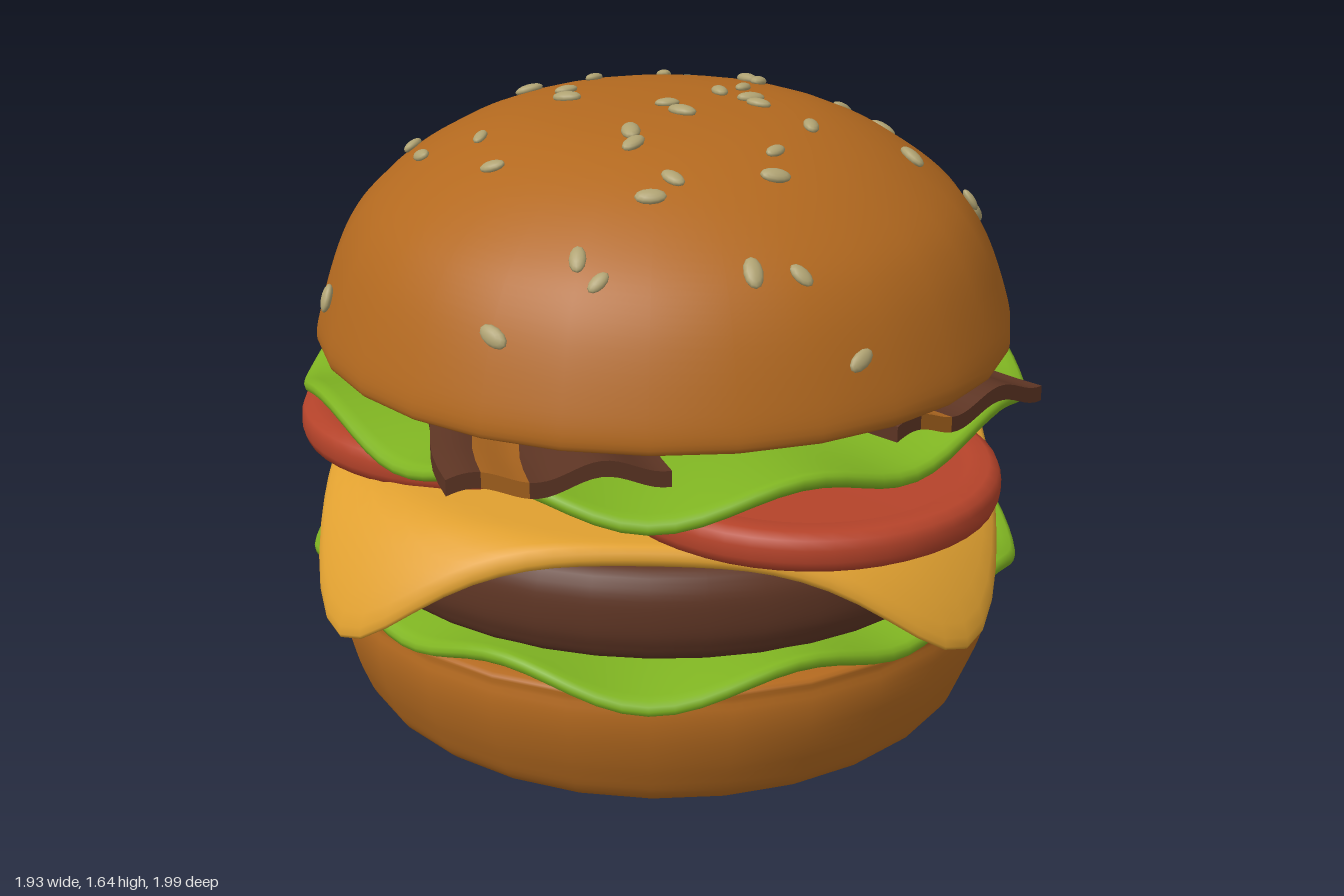
import * as THREE from 'three';
import { mergeVertices } from 'three/addons/utils/BufferGeometryUtils.js';

const material = (name, color) => Object.assign(new THREE.MeshStandardMaterial({ color }), { name });

const mats = {
  bun: material('toasted bun', 0xb3691f),
  seed: material('sesame', 0xafa272),
  patty: material('grilled patty', 0x5e3524),
  lettuce: material('lettuce green', 0x80b522),
  cheese: material('cheese yellow', 0xe0a030),
  tomato: material('tomato red', 0xb5432a),
  bacon: material('bacon meat', 0x5c3423),
  fat: material('bacon fat', 0xac661f),
};

function mesh(name, geometry, mat) {
  const m = new THREE.Mesh(geometry, mat);
  m.name = name;
  return m;
}

const points = (list) => list.map(([r, y]) => new THREE.Vector2(r, y));

// Smooth profile through a few [radius, height] points, bottom to top
const smoothProfile = (list, n) =>
  new THREE.SplineCurve(points(list)).getPoints(n).map((p) => p.setX(Math.max(0, p.x)));

// Move every vertex by a rule, then recompute the normals
function deform(geometry, rule) {
  const pos = geometry.attributes.position;
  const v = new THREE.Vector3();
  for (let i = 0; i < pos.count; i++) {
    rule(v.fromBufferAttribute(pos, i));
    pos.setXYZ(i, v.x, v.y, v.z);
  }
  geometry.computeVertexNormals();
  return geometry;
}

// Thin round-edged sheet with an outline radius(angle) and height(u, angle, r)
function sheet(thickness, radius, height) {
  const h = thickness / 2;
  const us = [0, 0.3, 0.55, 0.66, 0.74, 0.8, 0.85, 0.89, 0.93, 0.96, 0.985];
  const profile = [
    ...us.map((u) => [u, -h]),
    [0.997, -h * 0.6], [1, 0], [0.997, h * 0.6],
    ...us.reverse().map((u) => [u, h]),
  ];
  let g = new THREE.LatheGeometry(points(profile), 96);
  g.deleteAttribute('uv');
  g.deleteAttribute('normal');
  g = mergeVertices(g);
  return deform(g, (v) => {
    const u = Math.hypot(v.x, v.z);
    const a = Math.atan2(v.x, v.z);
    const r = u * radius(a);
    v.set(r * Math.sin(a), v.y + height(u, a, r), r * Math.cos(a));
  });
}

// Strip of bacon between two [x, z] ends, rippled across its width
function baconStrip(from, to, y) {
  const group = new THREE.Group();
  group.name = 'baconStrip';
  const dx = to[0] - from[0], dz = to[1] - from[1];
  const length = Math.hypot(dx, dz);
  const edges = [-0.26, -0.18, -0.07, 0.26];
  for (let i = 0; i < 3; i++) {
    const fat = i === 1;
    const g = deform(new THREE.BoxGeometry(1, 0.04, length, i === 2 ? 16 : 6, 1, 24), (v) => {
      const t = v.z / length + 0.5;
      const sway = 0.15 * (1 - t);
      const a = edges[i] + (i > 0 ? sway : 0);
      const b = edges[i + 1] + (i < 2 ? sway : 0);
      const w = a + (b - a) * (v.x + 0.5);
      v.x = w + 0.012 * Math.sin(t * Math.PI * 6);
      v.y += 0.02 * Math.cos(((w + 0.2) / 0.3) * Math.PI * 2);
    });
    group.add(mesh(fat ? 'baconFat' : 'baconMeat', g, fat ? mats.fat : mats.bacon));
  }
  group.position.set((from[0] + to[0]) / 2, y, (from[1] + to[1]) / 2);
  group.rotation.y = Math.atan2(dx, dz);
  return group;
}

// Sesame seeds laid on the dome, at [x, z]
const SEEDS = [
  [-0.33, -0.62], [-0.2, -0.64], [-0.14, -0.7], [0.04, -0.54], [-0.02, -0.46], [-0.2, -0.29],
  [-0.37, -0.24], [-0.72, -0.32], [-0.75, -0.48], [-0.67, -0.13], [-0.26, -0.1], [-0.25, -0.01],
  [-0.61, 0.12], [-0.45, 0.19], [-0.84, 0.27], [-0.4, 0.37], [-0.36, 0.77], [-0.17, 0.71],
  [-0.12, 0.76], [-0.01, 0.57], [0.04, 0.51], [-0.07, 0.3], [-0.06, 0.37], [0.01, 0.08],
  [0.05, 0.15], [0.14, -0.06], [0.2, -0.13], [0.22, -0.01], [0.24, 0.04], [0.21, -0.31],
  [0.24, -0.27], [0.47, -0.38], [0.58, -0.36], [0.52, -0.67], [0.58, -0.58], [0.82, -0.15],
  [0.8, -0.11], [0.63, 0.06], [0.37, 0.16], [0.28, 0.35], [0.28, 0.45], [0.34, 0.69],
  [0.23, 0.72], [0.48, 0.73],
];

function sesameSeeds(dome) {
  const group = new THREE.Group();
  group.name = 'sesameSeeds';
  const geometry = new THREE.SphereGeometry(1, 12, 8);
  const up = new THREE.Vector3(0, 1, 0);
  SEEDS.forEach(([x, z], i) => {
    const r = Math.hypot(x, z);
    // Dome segment under the seed, searched from the top down
    let k = dome.length - 1;
    while (k > 1 && dome[k - 1].x < r) k--;
    const p = dome[k], q = dome[k - 1];
    const y = p.y + ((q.y - p.y) * (r - p.x)) / (q.x - p.x);
    const slope = (p.y - q.y) / (q.x - p.x);
    const normal = new THREE.Vector3((x / r) * slope, 1, (z / r) * slope).normalize();
    const seed = mesh('seed', geometry, mats.seed);
    const size = 0.78 + 0.32 * ((i * 0.618) % 1);
    seed.scale.set(0.022, 0.014, 0.038).multiplyScalar(size);
    seed.position.set(x, y, z).addScaledVector(normal, 0.005);
    seed.quaternion.setFromUnitVectors(up, normal)
      .multiply(new THREE.Quaternion().setFromAxisAngle(up, i * 2.4));
    group.add(seed);
  });
  return group;
}

export function createModel() {
  const model = new THREE.Group();
  model.name = 'burger';

  // Bottom bun
  const heel = smoothProfile([[0, 0], [0.4, 0.006], [0.68, 0.022], [0.81, 0.055], [0.865, 0.15],
    [0.897, 0.27], [0.893, 0.36], [0.85, 0.4], [0.5, 0.405], [0, 0.405]], 48);
  model.add(mesh('bottomBun', new THREE.LatheGeometry(heel, 28), mats.bun));

  // Patty
  const patty = smoothProfile([[0, 0.44], [0.6, 0.44], [0.82, 0.455], [0.873, 0.51], [0.885, 0.585],
    [0.87, 0.66], [0.81, 0.705], [0.6, 0.715], [0, 0.715]], 40);
  model.add(mesh('patty', new THREE.LatheGeometry(patty, 40), mats.patty));

  // Lettuce leaves with a rippled rim
  for (const [name, y] of [['lowerLettuce', 0.422], ['upperLettuce', 0.893]]) {
    const leaf = sheet(0.04,
      (a) => 0.93 + 0.032 * Math.cos(4 * a),
      (u, a) => y - 0.038 * u ** 4 * Math.cos(8 * a));
    model.add(mesh(name, leaf, mats.lettuce));
  }

  // Square cheese slice with drooping corners
  const cheese = sheet(0.05,
    (a) => 0.855 / (Math.abs(Math.cos(a)) ** 6 + Math.abs(Math.sin(a)) ** 6) ** (1 / 6),
    (u, a, r) => 0.735 - 4 * Math.max(0, r - 0.82) ** 2);
  model.add(mesh('cheeseSlice', cheese, mats.cheese));

  // Tomato slices with a rounded skin and a sunken face
  const slice = points([[0, -0.037], [0.39, -0.037], [0.41, -0.05], [0.46, -0.05], [0.482, -0.037],
    [0.49, -0.015], [0.49, 0.015], [0.482, 0.037], [0.46, 0.05], [0.41, 0.05], [0.39, 0.037], [0, 0.037]]);
  for (const [x, y, z] of [[0.36, 0.797, 0.475], [-0.475, 0.789, 0.05]]) {
    const tomato = mesh('tomatoSlice', new THREE.LatheGeometry(slice, 48), mats.tomato);
    tomato.position.set(x, y, z);
    model.add(tomato);
  }

  // Bacon
  model.add(baconStrip([-0.65, -0.785], [-0.2, 0.935], 0.965));
  model.add(baconStrip([-0.42, -0.81], [0.77, 0.49], 0.972));

  // Top bun and seeds
  const crown = smoothProfile([[0, 1.005], [0.6, 1.005], [0.85, 1.012], [0.912, 1.03], [0.887, 1.15],
    [0.825, 1.3], [0.737, 1.41], [0.58, 1.52], [0.4, 1.593], [0.2, 1.622], [0, 1.628]], 60);
  model.add(mesh('topBun', new THREE.LatheGeometry(crown, 28), mats.bun));
  model.add(sesameSeeds(crown));

  return model;
}
